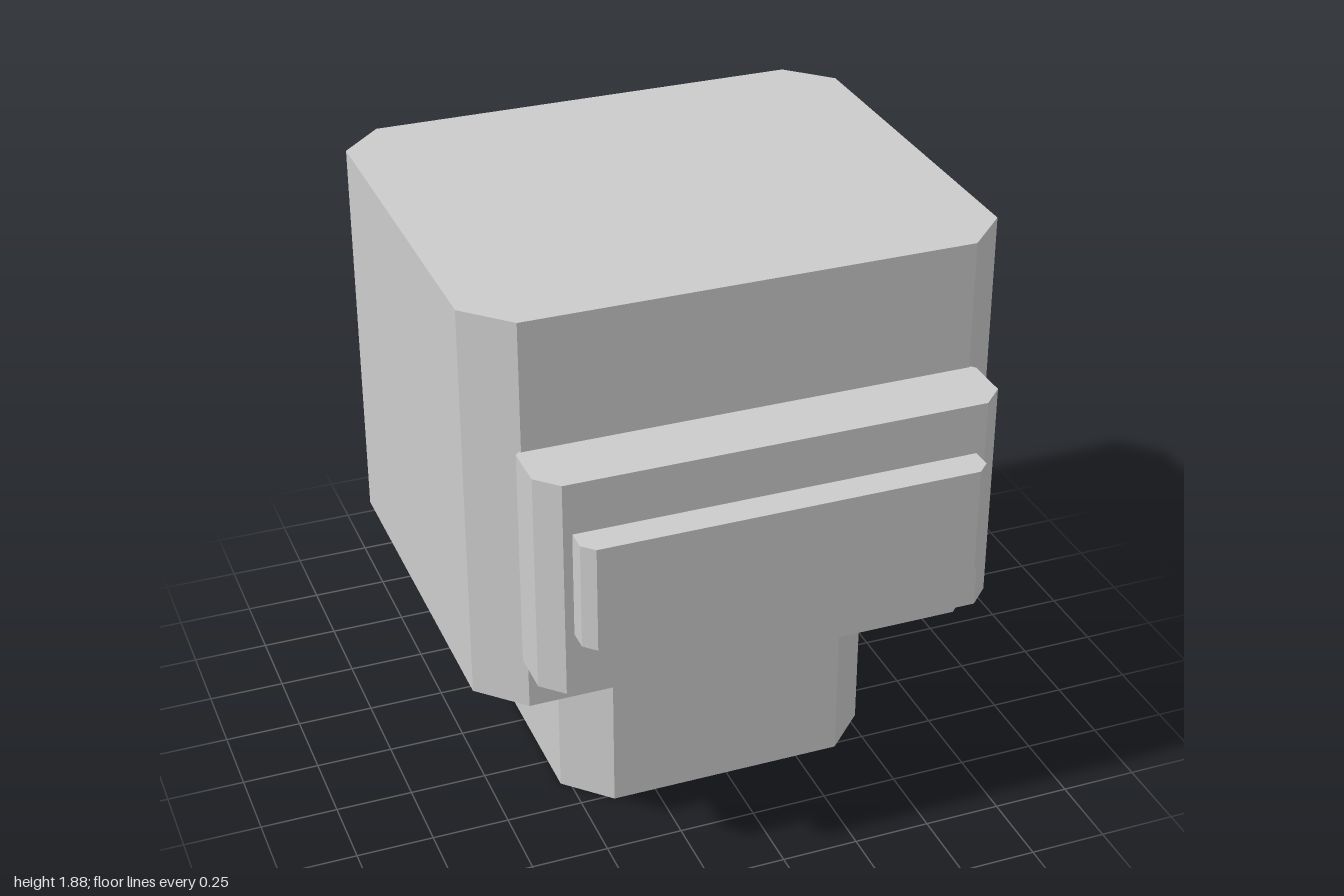
import * as THREE from 'three';

export function createModel() {
  const model = new THREE.Group();
  const grey = new THREE.MeshStandardMaterial({ color: 0xcccccc });
  grey.name = 'light grey';

  // Upright block whose four vertical edges are chamfered
  function addBlock(name, halfWidth, back, front, bottom, top, chamfer) {
    const w = halfWidth, c = chamfer;
    const outline = [
      [-w + c, -front], [w - c, -front], [w, -front + c], [w, -back - c],
      [w - c, -back], [-w + c, -back], [-w, -back - c], [-w, -front + c],
    ].map(([x, y]) => new THREE.Vector2(x, y));
    const geometry = new THREE.ExtrudeGeometry(new THREE.Shape(outline), {
      depth: top - bottom, bevelEnabled: false,
    });
    geometry.rotateX(-Math.PI / 2);
    geometry.translate(0, bottom, 0);
    const mesh = new THREE.Mesh(geometry, grey);
    mesh.name = name;
    model.add(mesh);
  }

  addBlock('head', 0.857, -0.797, 0.676, 0.562, 1.878, 0.138);
  addBlock('neckBase', 0.53, -1, 0.518, 0, 1.16, 0.138);
  addBlock('visorFrame', 0.738, 0.618, 0.897, 0.743, 1.459, 0.067);
  addBlock('visorPlate', 0.643, 0.82, 1, 0.948, 1.292, 0.037);

  return model;
}
